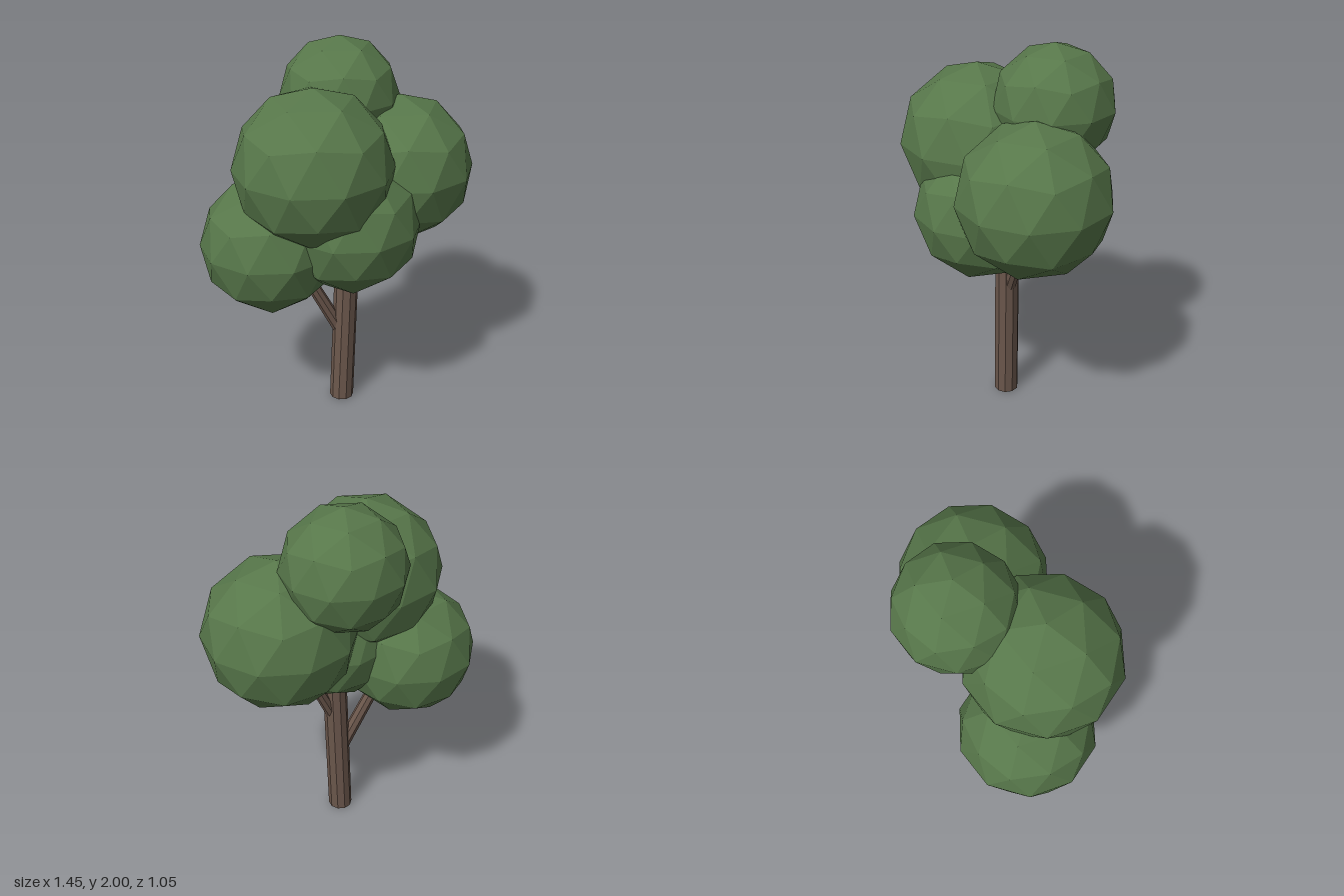
import * as THREE from 'three';

const bark = new THREE.MeshStandardMaterial({ color: 0x6b574c, flatShading: true });
const leaf = new THREE.MeshStandardMaterial({ color: 0x57774a, flatShading: true });

// Tapered eight-sided limb running between two points
function limb(name, from, to, r0, r1) {
  const a = new THREE.Vector3(...from), b = new THREE.Vector3(...to);
  const dir = b.clone().sub(a);
  const mesh = new THREE.Mesh(new THREE.CylinderGeometry(r1, r0, dir.length(), 8), bark);
  mesh.name = name;
  mesh.position.copy(a).add(b).multiplyScalar(0.5);
  mesh.quaternion.setFromUnitVectors(new THREE.Vector3(0, 1, 0), dir.normalize());
  return mesh;
}

// Faceted ball with one corner pointing straight up; floor limits how far it reaches down
function foliage(name, centre, r, floor = -1) {
  const geo = new THREE.IcosahedronGeometry(1, 1);
  geo.rotateZ(-Math.atan(2 / (1 + Math.sqrt(5))));
  const p = geo.attributes.position;
  for (let i = 0; i < p.count; i++) p.setY(i, Math.max(p.getY(i), floor));
  geo.scale(r, r, r);
  geo.computeVertexNormals();
  const mesh = new THREE.Mesh(geo, leaf);
  mesh.name = name;
  mesh.position.set(...centre);
  return mesh;
}

export function createModel() {
  const tree = new THREE.Group();
  tree.name = 'tree';

  // Trunk leans slightly sideways; its base stays level on the ground
  const trunkGeo = new THREE.CylinderGeometry(0.064, 0.066, 1.05, 10);
  trunkGeo.translate(0, 0.525, 0);
  const p = trunkGeo.attributes.position;
  for (let i = 0; i < p.count; i++) p.setX(i, p.getX(i) + p.getY(i) * 0.036);
  trunkGeo.computeVertexNormals();
  const trunk = new THREE.Mesh(trunkGeo, bark);
  trunk.name = 'trunk';
  trunk.position.z = 0.015;
  tree.add(trunk);

  // Branches
  tree.add(
    limb('rightBranch', [0.01, 0.4, 0.01], [-0.3, 1.0, -0.02], 0.038, 0.03),
    limb('leftBranch', [0.04, 0.66, 0.01], [0.27, 1.15, -0.04], 0.035, 0.025),
  );

  // Crown
  tree.add(
    foliage('topFoliage', [0.08, 1.69, -0.21], 0.312),
    foliage('upperFoliage', [-0.19, 1.45, 0.12], 0.403),
    foliage('leftFoliage', [0.35, 1.32, -0.045], 0.392),
    foliage('frontFoliage', [0, 1.13, 0.135], 0.36),
    foliage('rightFoliage', [-0.38, 1.016, -0.02], 0.36, -0.85),
  );
  return tree;
}
